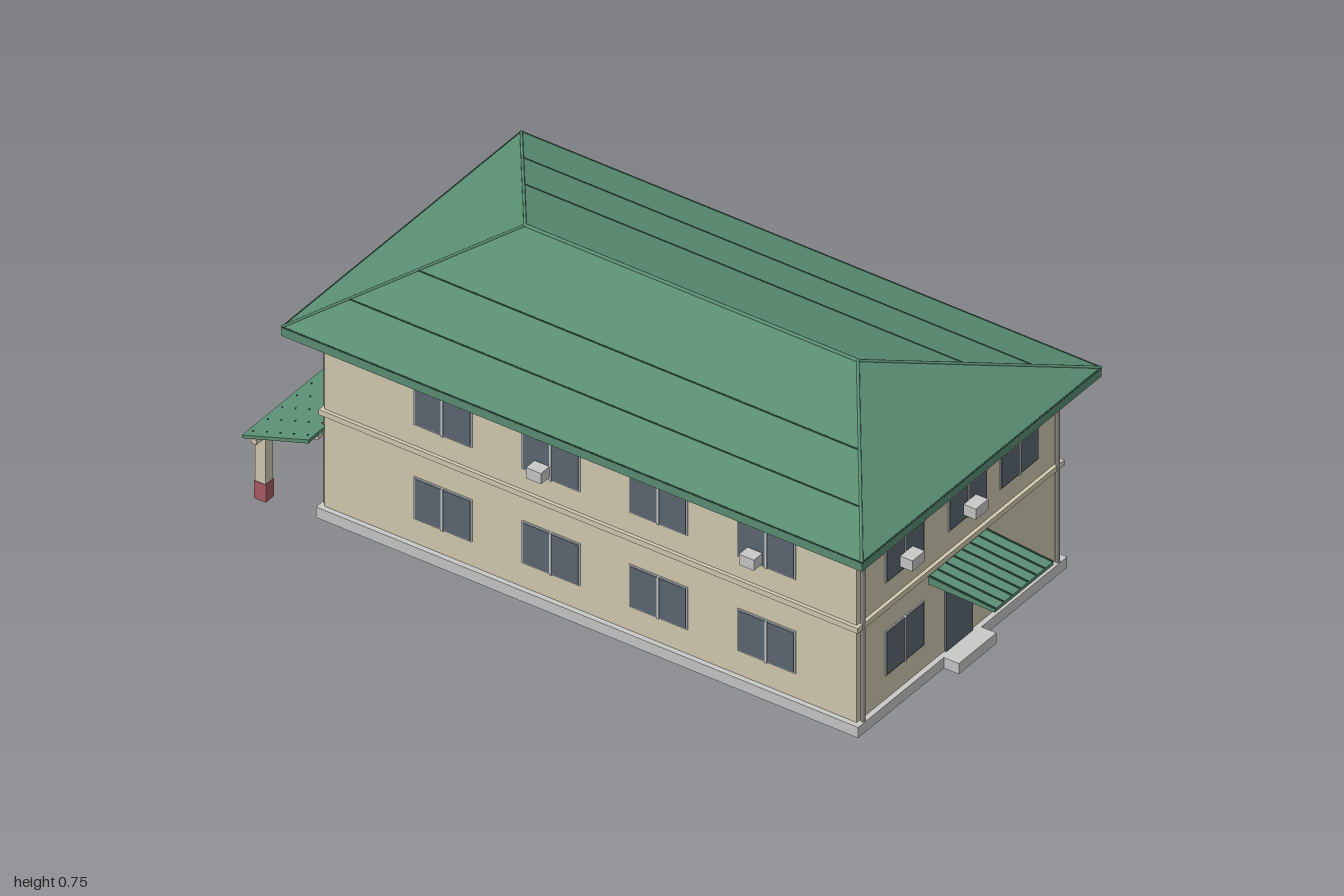
import * as THREE from 'three';

const material = (name, color) => Object.assign(new THREE.MeshStandardMaterial({ color }), { name });
const wallCream = material('wall cream', 0xd2cab0);
const roofGreen = material('roof green', 0x5b8f74);
const trimGreen = material('dark trim green', 0x335a47);
const concrete = material('concrete grey', 0xc8c8c7);
const glass = material('window glass', 0x5d6871);
const frameWhite = material('frame white', 0xc9cfd3);
const pipeGrey = material('pipe grey', 0x8d8b86);
const postRed = material('post base red', 0xa95c62);

const WALL_X = 0.43, WALL_Z = 0.8;

export function createModel() {
  const model = new THREE.Group();
  model.name = 'twoStoreyBuilding';

  const add = (name, geometry, mat, parent = model) => {
    const mesh = new THREE.Mesh(geometry, mat);
    mesh.name = name;
    parent.add(mesh);
    return mesh;
  };
  // Box given by its limits on each axis
  const box = (name, mat, [x0, x1], [y0, y1], [z0, z1], parent = model) => {
    const mesh = add(name, new THREE.BoxGeometry(x1 - x0, y1 - y0, z1 - z0), mat, parent);
    mesh.position.set((x0 + x1) / 2, (y0 + y1) / 2, (z0 + z1) / 2);
    return mesh;
  };
  // Thin round bar between two points
  const rod = (name, mat, from, to, radius, parent = model) => {
    const a = new THREE.Vector3(...from), b = new THREE.Vector3(...to);
    const dir = b.clone().sub(a);
    const mesh = add(name, new THREE.CylinderGeometry(radius, radius, dir.length(), 8), mat, parent);
    mesh.position.copy(a).add(b).multiplyScalar(0.5);
    mesh.quaternion.setFromUnitVectors(new THREE.Vector3(0, 1, 0), dir.normalize());
    return mesh;
  };
  // Side profile in (z, y), extruded along x
  const prism = (name, mat, points, x0, x1, parent = model) => {
    const shape = new THREE.Shape(points.map(([z, y]) => new THREE.Vector2(-z, y)));
    const geometry = new THREE.ExtrudeGeometry(shape, { depth: x1 - x0, bevelEnabled: false });
    geometry.rotateY(Math.PI / 2).translate(x0, 0, 0);
    return add(name, geometry, mat, parent);
  };

  // Walls, plinth and storey band
  box('walls', wallCream, [-WALL_X, WALL_X], [0.03, 0.56], [-WALL_Z, WALL_Z]);
  box('plinth', concrete, [-0.445, 0.445], [0, 0.032], [-0.815, 0.815]);
  box('storeyBand', wallCream, [-0.44, 0.44], [0.308, 0.324], [-0.81, 0.81]);
  box('frontStep', concrete, [-0.08, 0.08], [0, 0.032], [0.815, 0.86]);
  box('backPlatform', concrete, [0.17, 0.378], [0, 0.032], [-0.91, -0.815]);
  box('backDoorStep', concrete, [-0.11, 0.09], [0, 0.03], [-0.87, -0.815]);

  // One group per wall; local +z points out of the wall
  const side = (name, angle, distance) => {
    const group = new THREE.Group();
    group.name = name;
    group.rotation.y = angle;
    group.position.set(Math.sin(angle) * distance, 0, Math.cos(angle) * distance);
    model.add(group);
    return group;
  };
  const front = side('frontWall', 0, WALL_Z);
  const left = side('leftWall', Math.PI / 2, WALL_X);
  const back = side('backWall', Math.PI, WALL_Z);
  const right = side('rightWall', -Math.PI / 2, WALL_X);

  // Window: frame, glass and bars as thin layered plates
  const addWindow = (wall, x0, x1, y0, y1, transom) => {
    const group = new THREE.Group();
    group.name = 'window';
    wall.add(group);
    const mid = (x0 + x1) / 2;
    box('windowFrame', frameWhite, [x0, x1], [y0, y1], [0, 0.003], group);
    box('windowGlass', glass, [x0 + 0.004, x1 - 0.004], [y0 + 0.004, y1 - 0.004], [0, 0.005], group);
    box('mullion', frameWhite, [mid - 0.003, mid + 0.003], [y0, y1], [0, 0.007], group);
    if (transom) box('transom', frameWhite, [x0, x1], [y1 - 0.037, y1 - 0.031], [0, 0.007], group);
  };
  // Wall-mounted cooling unit
  const addUnit = (wall, x, y, w, h) =>
    box('coolingUnit', concrete, [x - w / 2, x + w / 2], [y - h / 2, y + h / 2], [0.008, 0.045], wall);

  // Front windows, door and units
  for (const [a, b] of [[-0.31, -0.146], [-0.042, 0.121], [0.177, 0.34]]) addWindow(front, a, b, 0.382, 0.515, true);
  addWindow(front, -0.31, -0.146, 0.103, 0.237, false);
  box('frontDoor', glass, [-0.057, 0.057], [0.032, 0.267], [0, 0.006], front);
  addUnit(front, -0.23, 0.42, 0.053, 0.032);
  addUnit(front, 0.04, 0.42, 0.053, 0.032);

  // Long side windows on both storeys
  for (const wall of [left, right])
    for (const z of [-0.53, -0.205, 0.118, 0.443])
      for (const y of [0.105, 0.388])
        addWindow(wall, wall === left ? -z - 0.175 : z, wall === left ? -z : z + 0.175, y, y + 0.127, false);
  addUnit(right, -0.14, 0.417, 0.045, 0.032);
  addUnit(right, 0.5, 0.417, 0.045, 0.032);

  // Back windows, door and units (local x runs opposite to model x)
  for (const [a, b] of [[-0.36, -0.17], [-0.115, 0.1], [0.157, 0.365]]) addWindow(back, a, b, 0.382, 0.515, true);
  addWindow(back, -0.36, -0.17, 0.105, 0.237, true);
  addWindow(back, 0.185, 0.36, 0.105, 0.237, true);
  box('backDoor', glass, [-0.07, 0.1], [0.032, 0.24], [0, 0.005], back);
  box('backDoorMullion', frameWhite, [0.012, 0.018], [0.032, 0.24], [0, 0.007], back);
  box('greenPanel', roofGreen, [0.18, 0.36], [0.032, 0.095], [0, 0.02], back);
  addUnit(back, -0.255, 0.42, 0.053, 0.032);
  addUnit(back, 0.26, 0.42, 0.053, 0.032);
  addUnit(back, -0.12, 0.433, 0.065, 0.062);
  const fan = add('fanGrille', new THREE.CylinderGeometry(0.022, 0.022, 0.004, 20), pipeGrey, back);
  fan.rotation.x = Math.PI / 2;
  fan.position.set(-0.12, 0.433, 0.046);

  // Downpipes
  for (const wall of [front, back])
    for (const x of wall === front ? [-0.414, 0.414] : [-0.414, -0.135, 0.127, 0.414])
      rod('downpipe', pipeGrey, [x, Math.abs(x) > 0.3 ? 0.032 : 0.27, 0.008], [x, 0.56, 0.008], 0.006, wall);

  // Hipped roof
  const EX = 0.51, EZ = 0.872, EY = 0.587, RY = 0.75, RZ = 0.5;
  box('soffit', wallCream, [-0.5, 0.5], [0.556, 0.561], [-0.862, 0.862]);
  box('eaves', roofGreen, [-EX, EX], [0.56, EY], [-EZ, EZ]);
  const A = [-EX, EY, EZ], B = [EX, EY, EZ], C = [EX, EY, -EZ], D = [-EX, EY, -EZ];
  const F = [0, RY, RZ], K = [0, RY, -RZ];
  const slopes = new THREE.BufferGeometry();
  const corners = [A, B, F, B, C, K, B, K, F, C, D, K, D, A, F, D, F, K].flat();
  slopes.setAttribute('position', new THREE.Float32BufferAttribute(corners, 3));
  slopes.computeVertexNormals();
  add('roofSlopes', slopes, roofGreen);
  rod('ridgeCap', roofGreen, F, K, 0.005);
  for (const [corner, end] of [[A, F], [B, F], [C, K], [D, K]]) rod('hipCap', roofGreen, corner, end, 0.004);
  for (const y of [0.632, 0.678]) {
    const t = (RY - y) / (RY - EY), z = RZ + (EZ - RZ) * t;
    for (const s of [-1, 1]) rod('roofSeam', trimGreen, [s * EX * t, y, -z], [s * EX * t, y, z], 0.002);
  }
  const eaveLoop = [A, B, C, D];
  eaveLoop.forEach((p, i) => rod('eaveLine', trimGreen, p, eaveLoop[(i + 1) % 4], 0.002));

  // Front door awning with standing ribs
  prism('frontAwning', roofGreen, [[0.8, 0.272], [1, 0.268], [1, 0.278], [0.8, 0.295]], -0.125, 0.125);
  for (let i = 0; i <= 7; i++) {
    const x = -0.122 + i * 0.0349;
    prism('awningRib', trimGreen, [[0.8, 0.29], [0.999, 0.274], [0.999, 0.281], [0.8, 0.298]], x - 0.002, x + 0.002);
  }

  // Back canopy on three posts
  prism('backCanopy', roofGreen, [[-0.8, 0.27], [-1, 0.203], [-1, 0.194], [-0.8, 0.259]], -0.498, 0.356);
  for (let i = 0; i < 14; i++)
    for (let j = 0; j < 5; j++) {
      const z = -0.818 - j * 0.041, y = 0.27 + (z + 0.8) * 0.335;
      const stud = add('canopyStud', new THREE.CylinderGeometry(0.003, 0.003, 0.003, 6), trimGreen);
      stud.position.set(-0.475 + i * 0.062, y, z);
    }
  box('canopyBeam', wallCream, [-0.49, 0.35], [0.184, 0.198], [-0.978, -0.962]);
  for (const x of [-0.447, -0.071, 0.305]) {
    box('canopyPost', wallCream, [x - 0.016, x + 0.016], [0.05, 0.192], [-0.986, -0.954]);
    box('postBase', postRed, [x - 0.0175, x + 0.0175], [0, 0.053], [-0.988, -0.952]);
    prism('canopyRafter', wallCream, [[-0.8, 0.26], [-0.98, 0.2], [-0.98, 0.188], [-0.8, 0.246]], x - 0.008, x + 0.008);
  }

  // Handrail on the back platform
  for (const y of [0.07, 0.103]) rod('handrail', concrete, [0.368, y, -0.8], [0.368, y, -0.897], 0.003);
  for (const z of [-0.82, -0.895]) rod('railPost', concrete, [0.368, 0.03, z], [0.368, 0.104, z], 0.003);

  return model;
}
